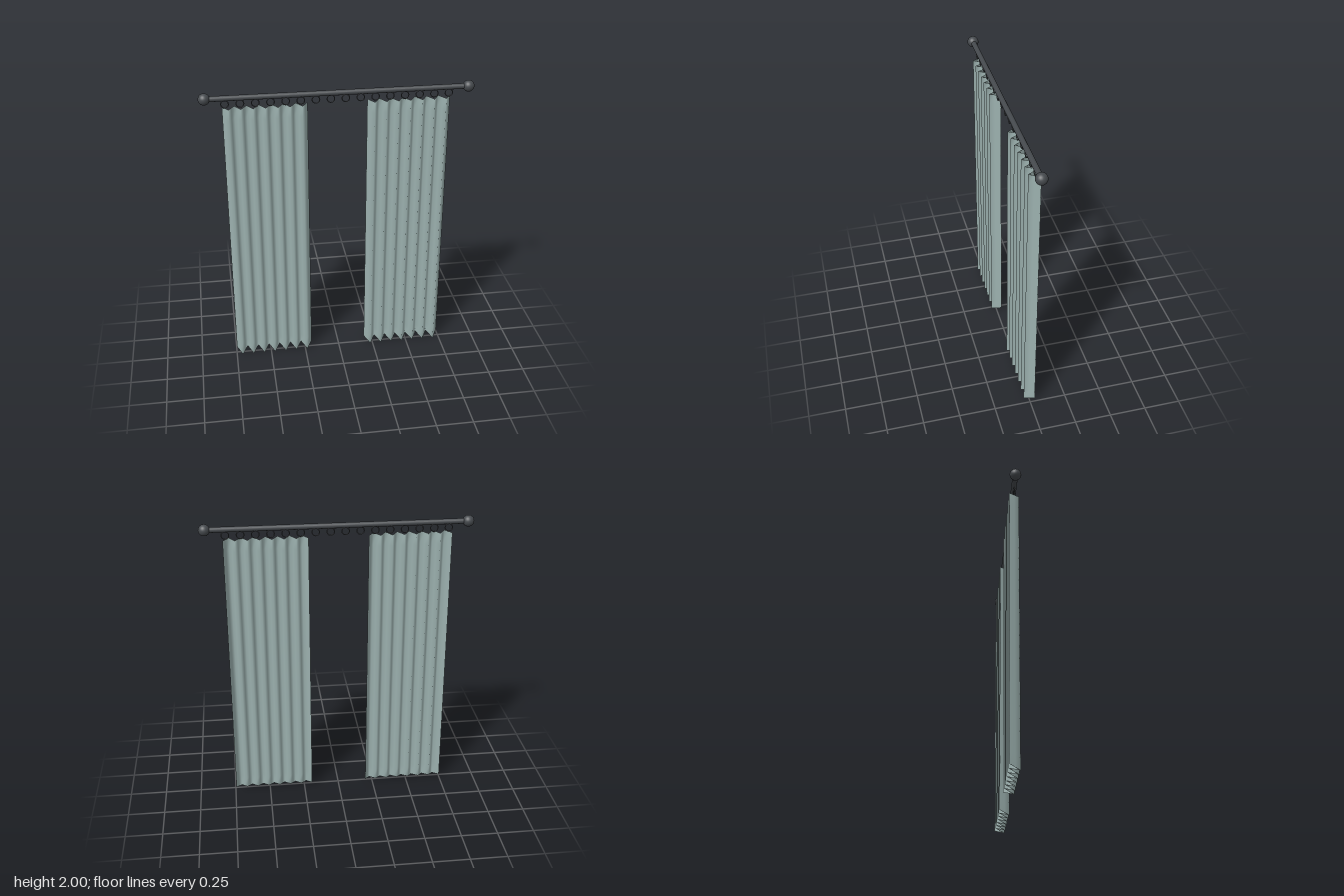
import * as THREE from 'three';
import { mergeVertices } from 'three/addons/utils/BufferGeometryUtils.js';

const ROD_Y = 1.962;

// Thin pleated cloth sheet; the front folds hang slightly lower at the hem
function curtainGeometry(width, folds) {
  const top = 1.895, hem = 0.0125, depth = 0.033, thickness = 0.003;
  const height = top - hem;
  const geo = new THREE.BoxGeometry(width, height, thickness, folds * 4, 24, 1);
  const pos = geo.attributes.position;
  for (let i = 0; i < pos.count; i++) {
    const u = (pos.getX(i) / width + 0.5) * folds;
    const wave = -Math.cos(u * Math.PI * 2);
    // quarter points of a triangle wave give crisp pleats
    const z = depth * (Math.abs(wave) < 0.01 ? 0 : wave);
    const t = pos.getY(i) / height + 0.5;
    const drop = t < 0.001 ? 0.0125 * wave : 0;
    pos.setXYZ(i, pos.getX(i), hem + t * height - drop, z + pos.getZ(i));
  }
  // shared vertices so the cloth shades softly over its edges
  geo.deleteAttribute('normal');
  geo.deleteAttribute('uv');
  const smooth = mergeVertices(geo, 1e-5);
  smooth.computeVertexNormals();
  return smooth;
}

export function createModel() {
  const group = new THREE.Group();
  const metal = new THREE.MeshStandardMaterial({ color: 0x45494d });
  metal.name = 'dark metal';
  const cloth = new THREE.MeshStandardMaterial({ color: 0x9db2b0 });
  cloth.name = 'grey green cloth';

  const add = (name, geo, mat, x, y) => {
    const mesh = new THREE.Mesh(geo, mat);
    mesh.name = name;
    mesh.position.set(x, y, 0);
    group.add(mesh);
  };

  // Rod and its round finials
  const rod = new THREE.CylinderGeometry(0.018, 0.018, 1.71, 20).rotateZ(Math.PI / 2);
  add('rod', rod, metal, 0, ROD_Y);
  const ball = new THREE.SphereGeometry(0.038, 24, 16);
  add('rightFinial', ball, metal, -0.857, ROD_Y);
  add('leftFinial', ball, metal, 0.857, ROD_Y);

  // Evenly spaced rings under the rod
  const ring = new THREE.TorusGeometry(0.0245, 0.0035, 8, 24);
  const count = 16;
  for (let i = 0; i < count; i++) {
    add('ring' + (i + 1), ring, metal, -0.729 + (1.456 * i) / (count - 1), 1.922);
  }

  // Pair of curtains
  const curtain = curtainGeometry(0.55, 7);
  add('rightCurtain', curtain, cloth, -0.472, 0);
  add('leftCurtain', curtain, cloth, 0.469, 0);

  return group;
}
